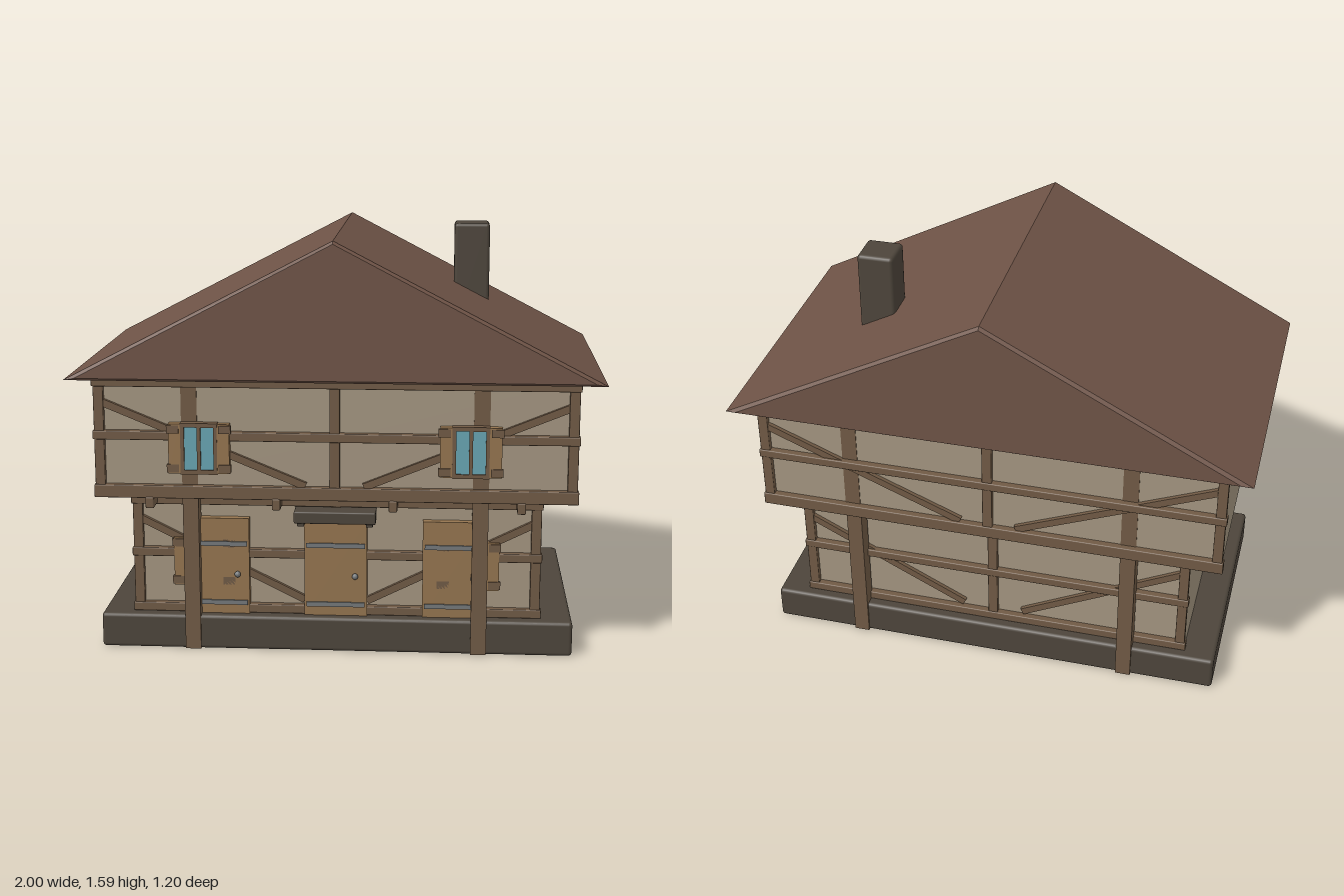
import * as THREE from 'three';
import { RoundedBoxGeometry } from 'three/addons/geometries/RoundedBoxGeometry.js';
import { ConvexGeometry } from 'three/addons/geometries/ConvexGeometry.js';

const mat = (color) => new THREE.MeshStandardMaterial({ color, roughness: 0.9 });
const M = {
  wall: mat(0xa39580), timber: mat(0x705a45), roof: mat(0x6e5346), stone: mat(0x4d453b),
  door: mat(0x94744f), glass: mat(0x68a4b2), iron: mat(0x74787a),
};

// Box given by its extents along each axis; r rounds the edges
function box(parent, name, m, [x0, x1], [y0, y1], [z0, z1], r = 0) {
  const size = [x1 - x0, y1 - y0, z1 - z0];
  const geo = r ? new RoundedBoxGeometry(...size, 2, r) : new THREE.BoxGeometry(...size);
  const mesh = new THREE.Mesh(geo, m);
  mesh.position.set((x0 + x1) / 2, (y0 + y1) / 2, (z0 + z1) / 2);
  mesh.name = name;
  parent.add(mesh);
  return mesh;
}

// Slanted timber between two points of a facade
function brace(parent, [xa, ya], [xb, yb], z, w = 0.028) {
  const length = Math.hypot(xb - xa, yb - ya);
  const mesh = new THREE.Mesh(new THREE.BoxGeometry(length, w, 0.024), M.timber);
  mesh.position.set((xa + xb) / 2, (ya + yb) / 2, z);
  mesh.rotation.z = Math.atan2(yb - ya, xb - xa);
  mesh.name = 'brace';
  parent.add(mesh);
}

// Timber frame of one storey on the wall plane z
function frame(name, halfW, z, rails, braceFrom, braceTo) {
  const g = new THREE.Group();
  g.name = name;
  const bottom = rails[0][0], top = rails[rails.length - 1][1];
  for (const rail of rails) box(g, 'rail', M.timber, [-halfW - 0.004, halfW + 0.004], rail, [z - 0.01, z + 0.026], 0.004);
  for (const x of [-halfW + 0.02, 0, halfW - 0.02])
    box(g, 'stud', M.timber, [x - 0.019, x + 0.019], [bottom, top], [z - 0.005, z + 0.021], 0.004);
  for (const s of [-1, 1]) brace(g, [s * braceFrom[0], braceFrom[1]], [s * braceTo[0], braceTo[1]], z + 0.004);
  return g;
}

// Two-light window with open shutters, centred on its own origin
function shutteredWindow(x, y, z) {
  const g = new THREE.Group();
  g.name = 'shutteredWindow';
  box(g, 'glass', M.glass, [-0.07, 0.07], [-0.09, 0.09], [-0.01, 0.026]);
  for (const x of [-0.062, 0, 0.062]) box(g, 'mullion', M.timber, [x - 0.007, x + 0.007], [-0.095, 0.095], [0, 0.033]);
  for (const y of [-0.09, 0.09]) box(g, 'windowRail', M.timber, [-0.07, 0.07], [y - 0.008, y + 0.008], [0, 0.033]);
  for (const s of [-1, 1]) {
    const xs = (a, b) => (s > 0 ? [a, b] : [-b, -a]);
    box(g, 'shutter', M.door, xs(0.068, 0.115), [-0.095, 0.095], [0, 0.032]);
    for (const y of [-0.075, 0.075]) box(g, 'shutterBatten', M.timber, xs(0.075, 0.121), [y - 0.015, y + 0.015], [0.02, 0.037]);
  }
  g.position.set(x, y, z);
  return g;
}

// Plank door with iron straps and a knob
function door(x) {
  const g = new THREE.Group();
  g.name = 'door';
  box(g, 'doorLeaf', M.door, [-0.12, 0.12], [0.135, 0.515], [0.41, 0.462]);
  for (const y of [0.18, 0.415]) box(g, 'strapHinge', M.iron, [-0.112, 0.112], [y - 0.009, y + 0.009], [0.455, 0.468]);
  const knob = new THREE.Mesh(new THREE.SphereGeometry(0.012, 12, 8), M.iron);
  knob.position.set(0.075, 0.295, 0.47);
  knob.name = 'doorKnob';
  g.add(knob);
  g.position.x = x;
  return g;
}

export function createModel() {
  const house = new THREE.Group();
  house.name = 'timberFramedHouse';

  // Masses: plinth and two storeys
  box(house, 'plinth', M.stone, [-0.905, 0.905], [0, 0.135], [-0.495, 0.495], 0.014);
  box(house, 'lowerStorey', M.wall, [-0.78, 0.78], [0.13, 0.61], [-0.43, 0.43]);
  box(house, 'upperStorey', M.wall, [-0.9, 0.9], [0.602, 1.075], [-0.5, 0.5]);

  // Gabled roof with slightly bevelled ends, and chimney
  const roofPoints = [];
  for (const s of [-1, 1]) {
    for (const [w, low, high, z] of [[1, 1.07, 1.59, 0.588], [0.957, 1.079, 1.579, 0.6]])
      roofPoints.push(new THREE.Vector3(-w, low, s * z), new THREE.Vector3(w, low, s * z), new THREE.Vector3(0, high, s * z));
  }
  const roof = new THREE.Mesh(new ConvexGeometry(roofPoints), M.roof);
  roof.name = 'roof';
  house.add(roof);
  box(house, 'chimney', M.stone, [0.438, 0.578], [1.2, 1.594], [-0.21, -0.07], 0.014);

  // Timber frames and tall posts on the front and back
  for (const back of [false, true]) {
    const side = new THREE.Group();
    side.name = back ? 'backFrame' : 'frontFrame';
    side.add(
      frame('upperFrame', 0.907, 0.5, [[0.607, 0.657], [0.832, 0.866], [1.035, 1.07]], [0.88, 0.975], [0.11, 0.66]),
      frame('lowerFrame', 0.782, 0.43, [[0.136, 0.17], [0.357, 0.391], [0.565, 0.602]], [0.76, 0.51], [0.12, 0.19]),
    );
    for (const s of [-1, 1])
      box(side, 'post', M.timber, [s * 0.548 - 0.03, s * 0.548 + 0.03], [0.002, 1.05], [0.44, 0.503]);
    if (back) side.rotation.y = Math.PI;
    house.add(side);
  }

  // Joist ends under the front overhang
  for (const x of [-0.7, -0.22, 0.22, 0.7])
    box(house, 'joistEnd', M.timber, [x - 0.016, x + 0.016], [0.568, 0.612], [0.4, 0.53], 0.005);

  // Front doors, with a hood over the middle one
  for (const x of [-0.452, 0, 0.452]) house.add(door(x));
  box(house, 'doorHood', M.stone, [-0.155, 0.155], [0.515, 0.562], [0.42, 0.52], 0.006);
  for (const s of [-1, 1])
    box(house, 'hoodBracket', M.stone, [s * 0.13 - 0.013, s * 0.13 + 0.013], [0.5, 0.52], [0.42, 0.5]);

  // Windows
  for (const s of [-1, 1])
    house.add(shutteredWindow(s * 0.508, 0.803, 0.503), shutteredWindow(s * 0.508, 0.34, 0.425));
  box(house, 'sideWindow', M.glass, [0.89, 0.935], [0.708, 0.89], [-0.065, 0.067]);

  return house;
}
